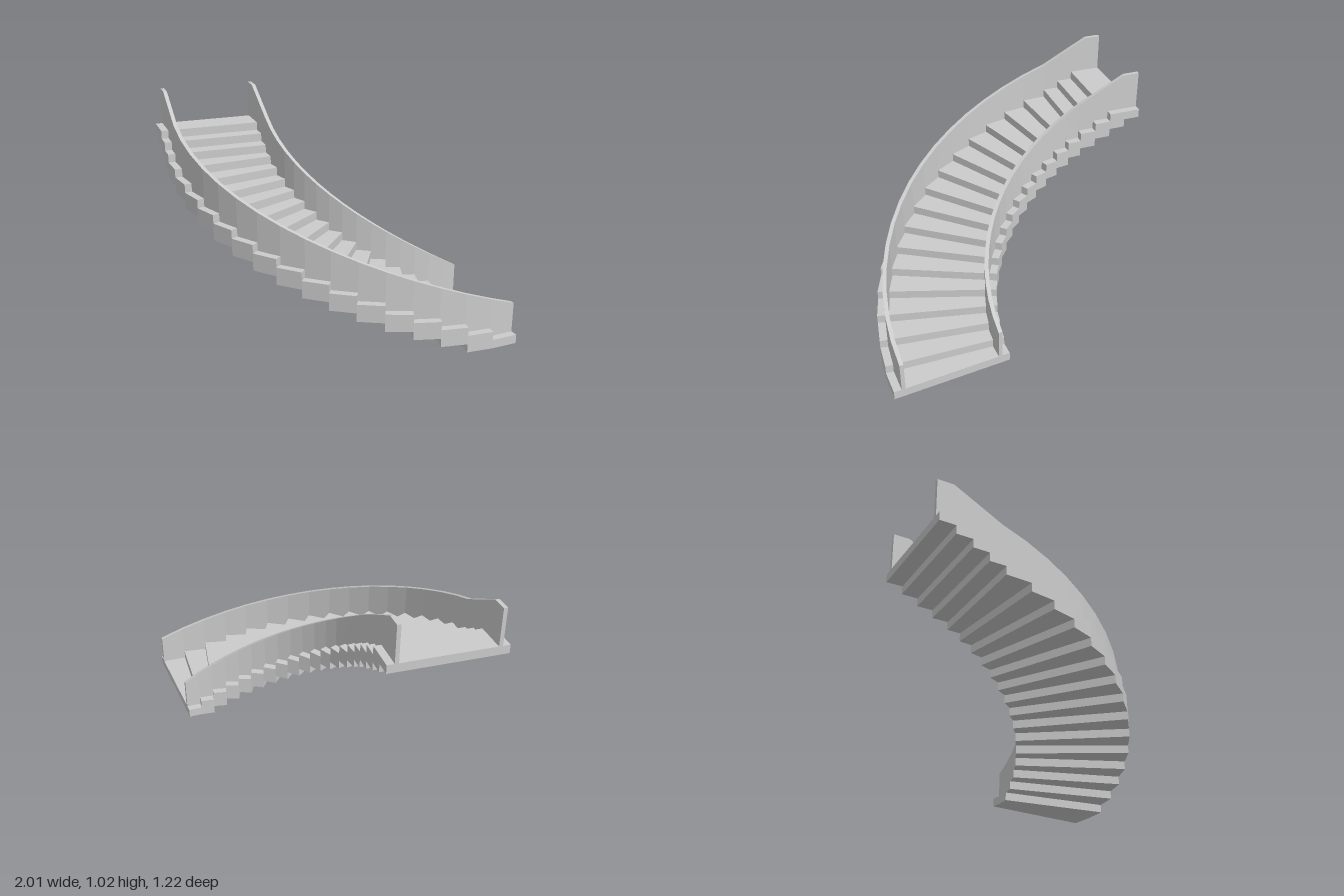
import * as THREE from 'three';

const CX = 0.26, CZ = -0.665;            // centre of the curved flight
const R_IN = 0.67, R_OUT = 1.265;        // inner and outer edge of the steps
const START = 36, TREAD = 6;             // degrees
const ARC_TREADS = 16, TREADS = 20;      // the last four treads run straight
const STRAIGHT = 0.083;                  // depth of a straight tread
const RISE = 0.0433, BLOCK = 0.045;

// point on the stair plan: t counts treads from the foot, r is the radius
function plan(t, r, y) {
  const a = THREE.MathUtils.degToRad(START - TREAD * Math.min(t, ARC_TREADS));
  const run = Math.max(0, t - ARC_TREADS) * STRAIGHT;
  return [
    CX + r * Math.sin(a) - run * Math.cos(a),
    y,
    CZ + r * Math.cos(a) + run * Math.sin(a),
  ];
}

// closed solid swept along the plan from tread t0 to t1
function sweep(t0, t1, rIn, rOut, low, high) {
  const pos = [], index = [];
  const n = t1 - t0;
  for (let s = 0; s <= n; s++) {
    const t = t0 + s;
    pos.push(
      ...plan(t, rIn, low(t)), ...plan(t, rOut, low(t)),
      ...plan(t, rOut, high(t)), ...plan(t, rIn, high(t)));
  }
  for (let s = 0; s < n; s++) {
    for (let k = 0; k < 4; k++) {
      const a = s * 4 + k, b = s * 4 + (k + 1) % 4;
      index.push(a, b, b + 4, a, b + 4, a + 4);
    }
  }
  const e = n * 4;
  index.push(0, 2, 1, 0, 3, 2, e, e + 1, e + 2, e, e + 2, e + 3);
  const g = new THREE.BufferGeometry();
  g.setAttribute('position', new THREE.Float32BufferAttribute(pos, 3));
  g.setIndex(index);
  const flat = g.toNonIndexed();
  flat.computeVertexNormals();
  return flat;
}

export function createModel() {
  const group = new THREE.Group();
  group.name = 'curvedStaircase';
  const material = new THREE.MeshStandardMaterial({ color: 0xcccccc, flatShading: true });
  const add = (parent, name, geometry) => {
    const mesh = new THREE.Mesh(geometry, material);
    mesh.name = name;
    parent.add(mesh);
  };

  // steps: each block is two treads deep and carries the next one
  const steps = new THREE.Group();
  steps.name = 'steps';
  group.add(steps);
  for (let i = 0; i < TREADS - 1; i++) {
    const y = i * RISE;
    add(steps, `step${i + 1}`, sweep(i, i + 2, R_IN, R_OUT, () => y, () => y + BLOCK));
  }

  // solid balustrades, rising with the steps and level over the top tread
  const low = (t) => Math.min(RISE * t, 0.8);
  const high = (t) => 0.198 + RISE * Math.min(t, TREADS - 1);
  add(group, 'innerBalustrade', sweep(0, TREADS, 0.708, 0.728, low, high));
  add(group, 'outerBalustrade', sweep(0, TREADS, 1.207, 1.227, low, high));

  return group;
}
